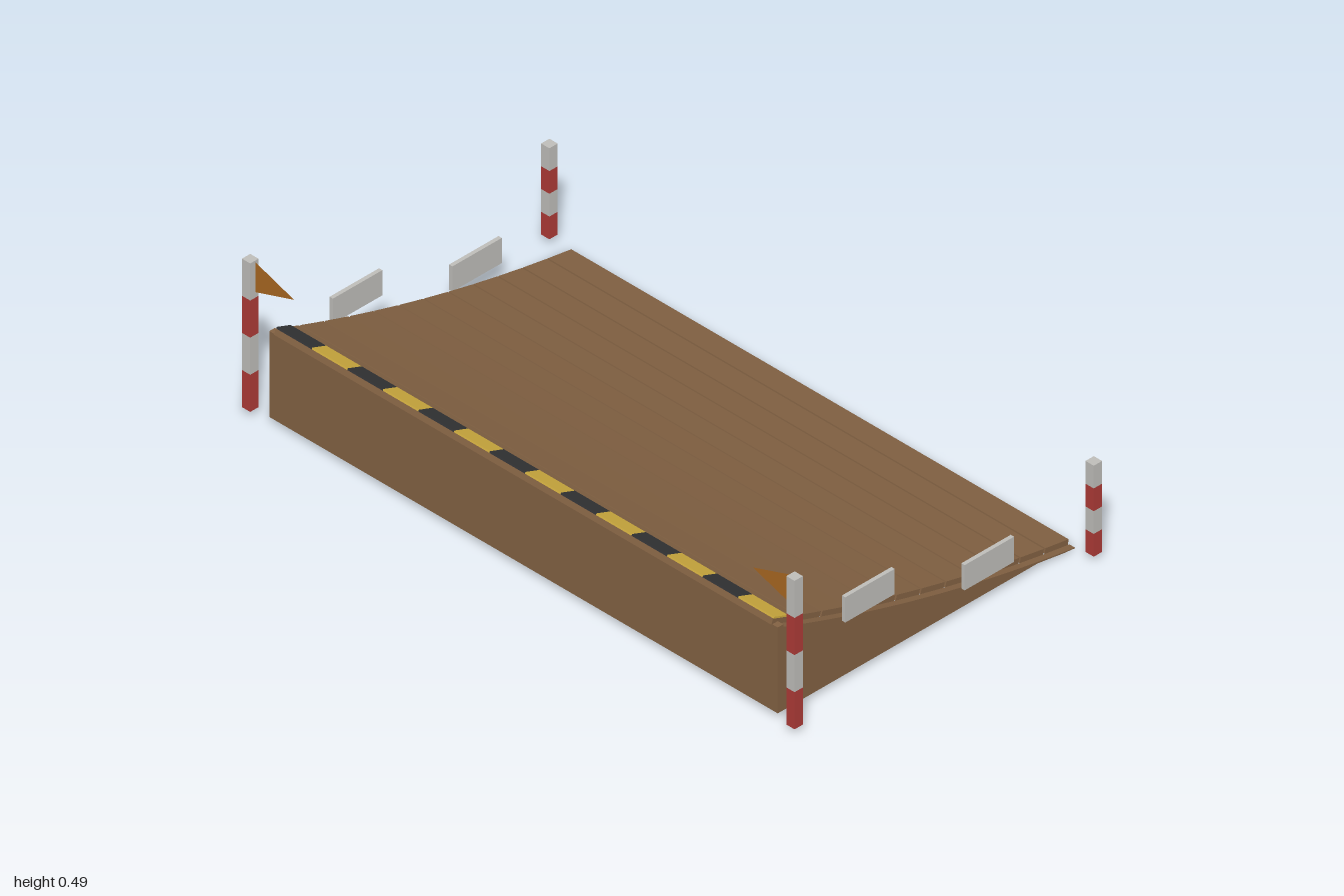
import * as THREE from 'three';

const material = (name, color) => {
  const m = new THREE.MeshStandardMaterial({ color });
  m.name = name;
  return m;
};

const HALF_LENGTH = 0.535;   // ramp runs from -z (low) to +z (high)
const PLANKS = 12;
const THICK = 0.017;
const GAP = 0.006;
const DECK = 1.8;            // deck width
const WIDTH = 1.84;          // width over the side panels

// Height of the deck's top surface along z
const deckY = z => 0.132 + 0.268 * z + 0.107 * z * z;

export function createModel() {
  const wood = material('wood brown', 0x836243);
  const yellow = material('hazard yellow', 0xcfac3f);
  const black = material('hazard black', 0x323335);
  const red = material('marker red', 0xad3b37);
  const white = material('marker grey white', 0xbfbeba);
  const orange = material('flag orange', 0xa96821);
  orange.side = THREE.DoubleSide;

  const model = new THREE.Group();
  model.name = 'ramp';

  const add = (parent, name, geometry, mat, x = 0, y = 0, z = 0) => {
    const mesh = new THREE.Mesh(geometry, mat);
    mesh.name = name;
    mesh.position.set(x, y, z);
    parent.add(mesh);
    return mesh;
  };
  const group = name => {
    const g = new THREE.Group();
    g.name = name;
    model.add(g);
    return g;
  };

  // Slab lying on the curved deck between two z positions
  const slab = (parent, name, mat, x, width, z0, z1, thick, lift, gap) => {
    const y0 = deckY(z0), y1 = deckY(z1);
    const slope = Math.atan2(y1 - y0, z1 - z0);
    const length = Math.hypot(z1 - z0, y1 - y0) - gap;
    const offset = lift - thick / 2;
    const mesh = add(parent, name, new THREE.BoxGeometry(width, thick, length), mat, x,
      (y0 + y1) / 2 + Math.cos(slope) * offset, (z0 + z1) / 2 - Math.sin(slope) * offset);
    mesh.rotation.x = -slope;
  };

  // Deck planks with open gaps
  const deck = group('deck');
  const pitch = 2 * HALF_LENGTH / PLANKS;
  for (let i = 0; i < PLANKS; i++) {
    const z = -HALF_LENGTH + i * pitch;
    slab(deck, 'plank', wood, 0, DECK, z, z + pitch, THICK, 0, GAP);
  }

  // Hazard stripe along the high edge
  const stripe = group('hazardStripe');
  const block = DECK / 14;
  for (let i = 0; i < 14; i++) {
    slab(stripe, 'stripeBlock', i % 2 ? yellow : black,
      -DECK / 2 + (i + 0.5) * block, block, 0.48, 0.53, 0.006, 0.005, 0);
  }

  // Side panels follow the underside of the planks
  const topEdge = [], bottomEdge = [];
  for (let i = 0; i <= 24; i++) {
    const z = HALF_LENGTH * (1 - i / 12);
    const y = deckY(z) - THICK;
    topEdge.push(new THREE.Vector2(z, y));
    bottomEdge.unshift(new THREE.Vector2(z, Math.max(0, Math.min(0.02, y - 0.004))));
  }
  const sideShape = new THREE.Shape([...topEdge, ...bottomEdge]);
  const sideGeometry = new THREE.ExtrudeGeometry(sideShape, { depth: 0.02, bevelEnabled: false });
  sideGeometry.rotateY(-Math.PI / 2);
  add(model, 'leftSidePanel', sideGeometry, wood, WIDTH / 2);
  add(model, 'rightSidePanel', sideGeometry, wood, -WIDTH / 2 + 0.02);

  // Tall front panel
  const panelTop = deckY(HALF_LENGTH) - THICK;
  add(model, 'frontPanel', new THREE.BoxGeometry(WIDTH, panelTop - 0.02, 0.02), wood,
    0, (panelTop + 0.02) / 2, HALF_LENGTH - 0.01);

  // Banded marker pole
  const pole = (name, x, z, height) => {
    const g = group(name);
    const h = height / 4;
    for (let i = 0; i < 4; i++) {
      add(g, 'poleBand', new THREE.BoxGeometry(0.03, h, 0.03), i % 2 ? white : red,
        x, 0.02 + (i + 0.5) * h, z);
    }
  };

  for (const side of [1, -1]) {
    const label = side > 0 ? 'left' : 'right';
    pole(label + 'FrontPole', side * 0.985, 0.539, 0.465);
    pole(label + 'BackPole', side * 0.985, -0.538, 0.285);

    // Pennant pointing inwards
    const flag = new THREE.Shape([
      new THREE.Vector2(side * 0.972, 0.385),
      new THREE.Vector2(side * 0.972, 0.48),
      new THREE.Vector2(side * 0.83, 0.432),
    ]);
    add(model, label + 'Flag', new THREE.ShapeGeometry(flag), orange, 0, 0, 0.535);

    // Blank boards on the sides
    for (const [y, z] of [[0.235, 0.216], [0.12, -0.214]]) {
      add(model, label + 'Board', new THREE.BoxGeometry(0.012, 0.079, 0.178), white,
        side * 0.927, y, z);
    }
  }
  return model;
}
